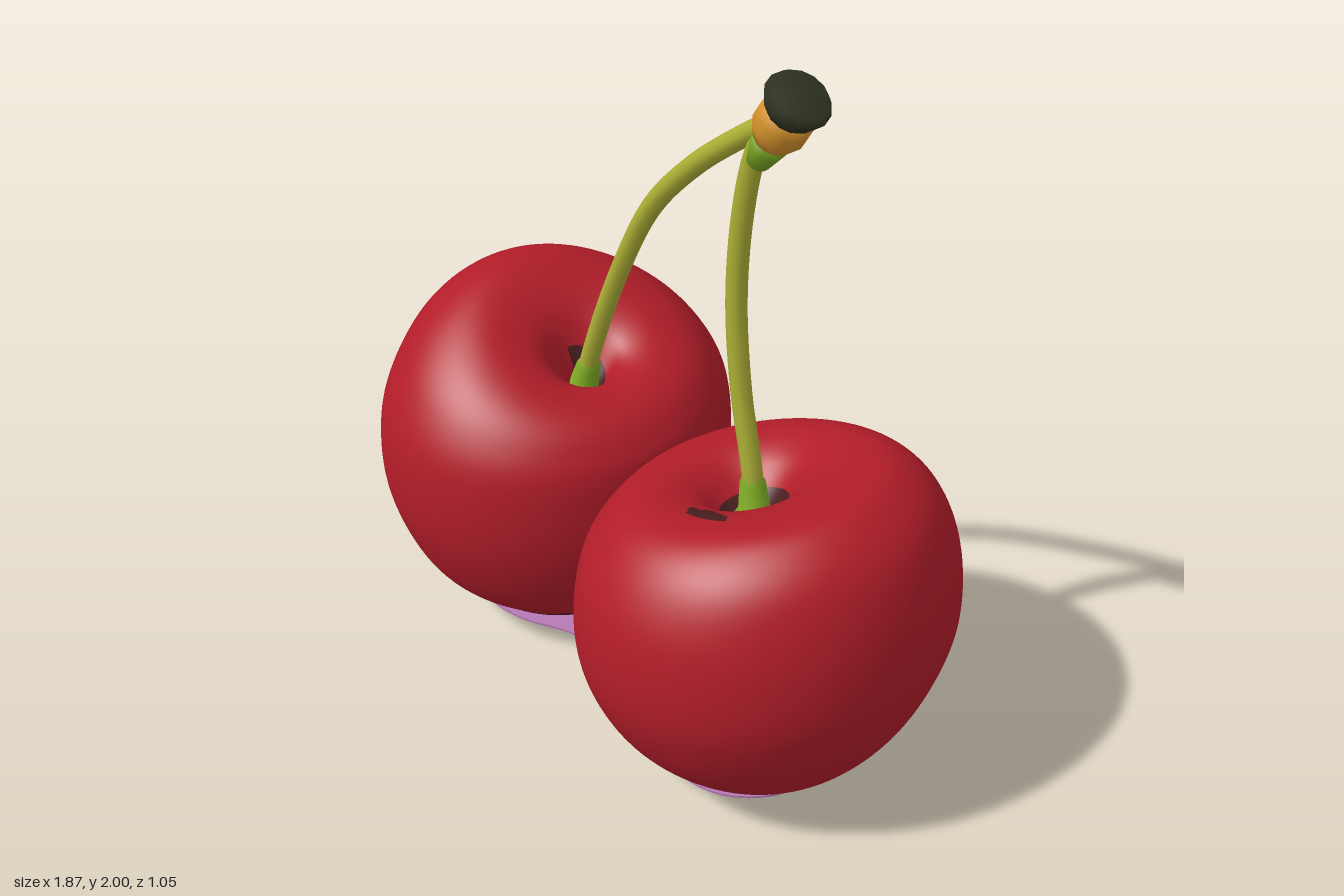
import * as THREE from 'three';

const mat = (name, color) => {
  const m = new THREE.MeshStandardMaterial({ color });
  m.name = name;
  return m;
};

// Fruit skin: each ring joins an outward and an inward profile point,
// so the rim tilts and the dimple sits off centre. isDark picks the dark faces.
function cherryGeometry(side, outer, inner, isDark) {
  const spline = pts => new THREE.SplineCurve(pts.map(p => new THREE.Vector2(...p)));
  const outCurve = spline(outer), inCurve = spline(inner);
  const rings = 96, segs = 96, pos = [], skin = [], shade = [];
  for (let j = 0; j <= rings; j++) {
    const o = outCurve.getPoint(j / rings), n = inCurve.getPoint(j / rings);
    const r = Math.max((o.x + n.x) / 2, 0.0005), shift = (o.x - n.x) / 2;
    for (let i = 0; i < segs; i++) {
      const a = i / segs * Math.PI * 2, s = Math.sin(a) * side;
      const y = THREE.MathUtils.lerp(n.y, o.y, (1 + s) / 2);
      // the two fruits press flat against each other at x = 0
      pos.push(side * Math.max(0.468 + shift + r * s, 0.001), y,
        r * (1.1 - 0.25 * (y - 0.55) ** 2) * Math.cos(a));
    }
  }
  for (let j = 0; j < rings; j++) {
    for (let i = 0; i < segs; i++) {
      const k = (i + 1) % segs, a = j * segs + i, b = j * segs + k;
      const list = isDark(j / rings, ...pos.slice(a * 3, a * 3 + 3)) ? shade : skin;
      list.push(a, b, b + segs, a, b + segs, a + segs);
    }
  }
  const g = new THREE.BufferGeometry();
  g.setAttribute('position', new THREE.Float32BufferAttribute(pos, 3));
  g.setIndex([...skin, ...shade]);
  g.computeVertexNormals();
  g.addGroup(0, skin.length, 0);
  g.addGroup(skin.length, shade.length, 1);
  return g;
}

// Underside of the pad: rings of its outline, sagging below each fruit
function padUnderGeometry(outline) {
  const n = outline.length, rings = 16, pos = [], idx = [];
  for (let j = 0; j <= rings; j++) {
    for (const p of outline) {
      const x = p.x * j / rings, z = p.y * j / rings;
      const d = Math.hypot(Math.abs(x) - 0.45, z) / 0.25;
      pos.push(x, 0.024 - 0.024 * Math.max(0, 1 - d * d), z);
    }
  }
  for (let j = 0; j < rings; j++) {
    for (let i = 0; i < n; i++) {
      const a = j * n + i, b = j * n + (i + 1) % n;
      idx.push(a, b + n, b, a, a + n, b + n);
    }
  }
  const g = new THREE.BufferGeometry();
  g.setAttribute('position', new THREE.Float32BufferAttribute(pos, 3));
  g.setIndex(idx);
  g.computeVertexNormals();
  return g;
}

export function createModel() {
  const model = new THREE.Group();
  model.name = 'cherryPair';
  const red = mat('cherryRed', 0xb21d29);
  const dark = mat('darkMaroon', 0x4a1f20);
  const stemGreen = mat('stemOlive', 0xadb036);
  const leafGreen = mat('freshGreen', 0x7fac24);
  const orange = mat('nubOrange', 0xd6922c);
  const black = mat('capDark', 0x2f3220);
  const purple = mat('padPurple', 0xb67ab4);
  const greyPurple = mat('padUnderside', 0xd6c0de);

  const add = (name, geometry, material, parent = model) => {
    const m = new THREE.Mesh(geometry, material);
    m.name = name;
    parent.add(m);
    return m;
  };

  // Cherries: dark base band (higher on the inward side), dark dimple floor
  const base = (x, y) => y < 0.075 + 0.09 * Math.max(0, 0.4 - Math.abs(x));
  add('rightCherry', cherryGeometry(-1,
    [[0, .035], [.2, .04], [.31, .12], [.40, .24], [.455, .42], [.47, .57], [.45, .73],
      [.37, .91], [.26, 1.01], [.14, 1.035], [0, .96], [-.08, .84], [-.13, .7]],
    [[0, .035], [.25, .04], [.34, .11], [.42, .21], [.47, .35], [.488, .5], [.475, .67],
      [.44, .75], [.385, .805], [.30, .835], [.24, .82], [.19, .76], [.13, .7]],
    (t, x, y, z) => (t < .5 ? base(x, y) : t > (z < 0 ? .9 : .95))),
  [red, dark]);
  add('leftCherry', cherryGeometry(1,
    [[0, .035], [.2, .04], [.31, .13], [.40, .27], [.455, .44], [.467, .57], [.445, .73],
      [.39, .87], [.31, .945], [.22, .965], [.08, .91], [0, .81], [-.07, .7]],
    [[0, .035], [.25, .04], [.34, .12], [.42, .22], [.47, .35], [.485, .5], [.468, .65],
      [.425, .74], [.37, .80], [.29, .82], [.22, .80], [.15, .75], [.07, .7]],
    (t, x, y, z) => (t < .5 ? base(x, y)
      : t > .9 || Math.hypot((x - .435) / .07, (z - .21) / .027) < 1)),
  [red, dark]);

  // Stems, each with a flared green foot
  const stems = {
    rightStem: [[-.345, .71], [-.285, .9], [-.155, 1.22], [-.02, 1.47], [.14, 1.65], [.31, 1.795], [.41, 1.87]],
    leftStem: [[.4, .71], [.38, .88], [.33, 1.1], [.302, 1.35], [.315, 1.6], [.355, 1.78], [.41, 1.87]],
  };
  for (const [name, pts] of Object.entries(stems)) {
    const curve = new THREE.CatmullRomCurve3(pts.map(([x, y]) => new THREE.Vector3(x, y, 0)));
    add(name, new THREE.TubeGeometry(curve, 48, .027, 10), stemGreen);
    const foot = add(name + 'Foot', new THREE.LatheGeometry(
      [[0, -.03], [.078, -.02], [.072, .02], [.042, .06], [.034, .14], [.02, .17]]
        .map(p => new THREE.Vector2(...p)), 12), leafGreen);
    foot.position.copy(curve.getPoint(0));
    foot.rotation.z = -Math.atan2(pts[1][0] - pts[0][0], pts[1][1] - pts[0][1]);
  }

  // Joint at the top: green collar, orange nub, dark cut end
  const joint = new THREE.Group();
  joint.name = 'stemJoint';
  joint.position.set(.383, 1.79, 0);
  joint.rotation.z = -.55;
  model.add(joint);
  const lathe = pts => new THREE.LatheGeometry(pts.map(p => new THREE.Vector2(...p)), 14);
  add('collar', lathe([[0, -.05], [.03, -.045], [.042, .01], [.052, .06], [0, .07]]), leafGreen, joint);
  add('nub', lathe([[0, .04], [.05, .045], [.066, .08], [.066, .12], [.055, .15], [0, .16]]), orange, joint);
  add('cutEnd', lathe([[0, .135], [.056, .137], [.068, .155], [.08, .182], [.068, .2], [0, .203]]), black, joint);

  // Waisted pad under the fruit
  const half = [[.68, 0], [.66, .13], [.57, .24], [.45, .28], [.32, .255], [.18, .18], [0, .145]];
  const front = [...half, ...half.slice(1, -1).reverse().map(([x, z]) => [-x, z]), [-.68, 0]];
  const outline = [...front, ...front.slice(1, -1).reverse().map(([x, z]) => [x, -z])];
  const loop = new THREE.CatmullRomCurve3(outline.map(([x, z]) => new THREE.Vector3(x, z, 0)), true);
  const rim = loop.getPoints(96).slice(0, -1).map(p => new THREE.Vector2(p.x, p.y));
  const top = add('padTop', new THREE.ExtrudeGeometry(new THREE.Shape(rim),
    { depth: .007, bevelEnabled: false }), purple);
  top.rotation.x = -Math.PI / 2;
  top.position.y = .025;
  add('padUnderside', padUnderGeometry(rim), greyPurple);
  return model;
}
